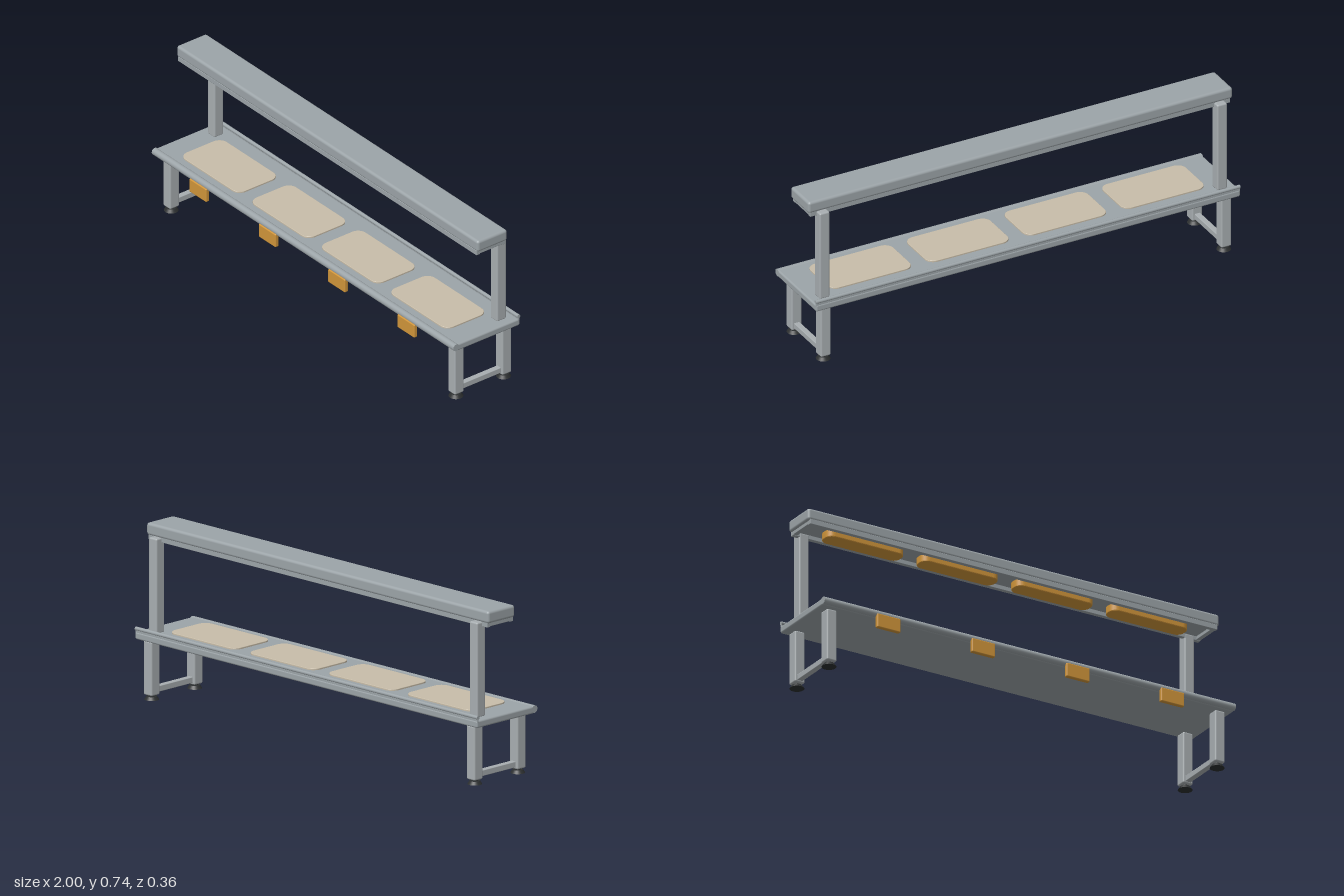
import * as THREE from 'three';
import { RoundedBoxGeometry } from 'three/addons/geometries/RoundedBoxGeometry.js';

const mat = (name, color) => {
  const m = new THREE.MeshStandardMaterial({ color });
  m.name = name;
  return m;
};

// Rounded rectangle in plan, thickened upwards from y = 0 with bevelled rims
function slab(width, depth, height, radius, bevel) {
  const w = width / 2 - bevel, d = depth / 2 - bevel, r = radius - bevel;
  const s = new THREE.Shape();
  s.moveTo(-w + r, -d);
  s.lineTo(w - r, -d);
  s.absarc(w - r, -d + r, r, -Math.PI / 2, 0);
  s.absarc(w - r, d - r, r, 0, Math.PI / 2);
  s.absarc(-w + r, d - r, r, Math.PI / 2, Math.PI);
  s.absarc(-w + r, -d + r, r, Math.PI, Math.PI * 1.5);
  const g = new THREE.ExtrudeGeometry(s, {
    depth: height - 2 * bevel, bevelEnabled: true, bevelSize: bevel,
    bevelThickness: bevel, bevelSegments: 3, curveSegments: 6,
  });
  return g.rotateX(-Math.PI / 2).translate(0, bevel, 0);
}

export function createModel() {
  const root = new THREE.Group();
  root.name = 'bench';
  const panel = mat('panel grey', 0x9ca4a8);
  const frame = mat('frame grey', 0xa8aeb1);
  const tan = mat('pad tan', 0xc8bda9);
  const amber = mat('amber', 0xd0953a);
  const rubber = mat('rubber black', 0x2c2f30);

  const add = (name, geometry, material, x = 0, y = 0, z = 0) => {
    const m = new THREE.Mesh(geometry, material);
    m.name = name;
    m.position.set(x, y, z);
    root.add(m);
    return m;
  };
  // Rounded box given by its limits in y and z, centred on x
  const block = (name, material, x, w, y0, y1, z0, z1, r) =>
    add(name, new RoundedBoxGeometry(w, y1 - y0, z1 - z0, 3, r), material,
      x, (y0 + y1) / 2, (z0 + z1) / 2);
  const rod = (name, r, y, z) =>
    add(name, new THREE.CylinderGeometry(r, r, 2, 20).rotateZ(Math.PI / 2), panel, 0, y, z);

  // Seat board with rolled front rail and beaded rear lip
  block('seatBoard', panel, 0, 2, 0.255, 0.287, -0.178, 0.16, 0.008);
  rod('frontRail', 0.016, 0.274, 0.16);
  block('rearLip', panel, 0, 2, 0.28, 0.305, -0.176, -0.168, 0.002);
  rod('rearBead', 0.008, 0.3, -0.171);

  // Upper hood with an open tray beneath
  block('hood', panel, 0, 2, 0.69, 0.743, -0.112, 0.046, 0.012);
  block('hoodFrontRim', panel, 0, 1.98, 0.672, 0.695, 0.026, 0.045, 0.002);
  block('hoodRearRim', panel, 0, 1.98, 0.672, 0.695, -0.108, -0.089, 0.002);
  for (const s of [-1, 1])
    block('hoodEndRim', panel, s * 0.98, 0.02, 0.675, 0.695, -0.1, 0.04, 0.002);

  // Four places: seat pad, hanging tag and overhead lamp
  for (let i = 0; i < 4; i++) {
    const x = -0.69 + i * 0.46;
    add('seatPad', slab(0.39, 0.22, 0.011, 0.04, 0.002), tan, x, 0.283, 0.011);
    block('hangingTag', amber, x, 0.113, 0.207, 0.27, 0.162, 0.181, 0.005);
    add('lamp', slab(0.375, 0.08, 0.038, 0.034, 0.005), amber, x - 0.002, 0.657, -0.026);
  }

  // End frames: posts, legs, floor rails and feet
  for (const s of [-1, 1]) {
    block('post', frame, s * 0.937, 0.047, 0.284, 0.692, -0.137, -0.088, 0.007);
    for (const z of [0.117, -0.135]) {
      block('leg', frame, s * 0.944, 0.048, 0.02, 0.253, z - 0.025, z + 0.025, 0.007);
      add('legCollar', new THREE.CylinderGeometry(0.016, 0.016, 0.02, 16), frame, s * 0.944, 0.255, z);
      add('foot', new THREE.CylinderGeometry(0.022, 0.031, 0.014, 24), rubber, s * 0.944, 0.007, z);
      add('footStem', new THREE.CylinderGeometry(0.012, 0.012, 0.012, 16), rubber, s * 0.944, 0.018, z);
    }
    block('floorRail', frame, s * 0.944, 0.026, 0.028, 0.054, -0.13, 0.112, 0.003);
  }
  return root;
}
